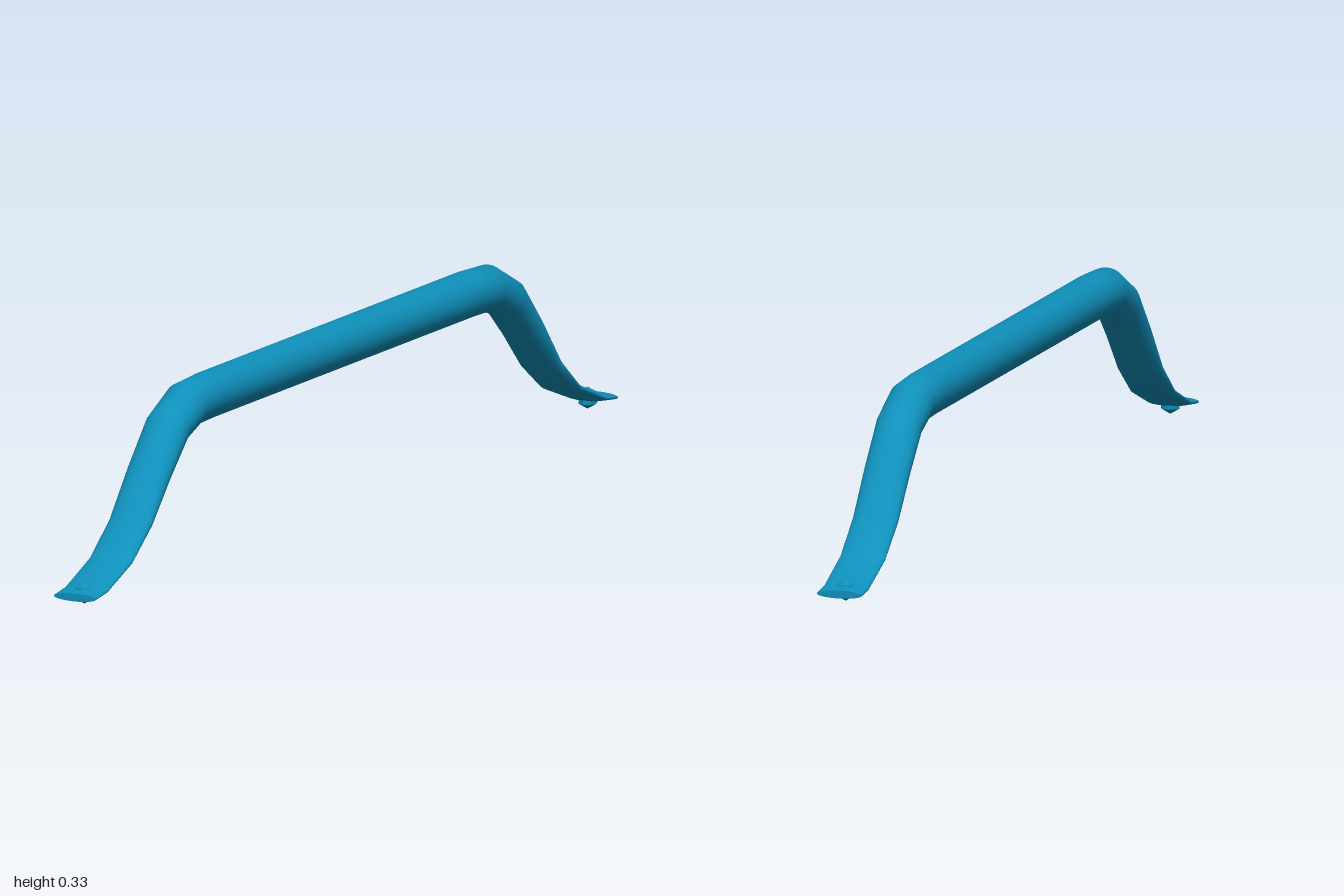
import * as THREE from 'three';

// Half of the side profile: [z, centre height, half thickness], from the front end to the grip
const HALF = [
  [1.0, 0.017, 0.007],
  [0.955, 0.023, 0.008],
  [0.86, 0.058, 0.011],
  [0.785, 0.112, 0.018],
  [0.715, 0.187, 0.028],
  [0.645, 0.254, 0.036],
  [0.575, 0.283, 0.041],
  [0.5, 0.286, 0.041],
];
const HALF_WIDTH = 0.041;
const SIDES = 32;

// Round bar whose section flattens to a thin ellipse towards both ends
function barGeometry() {
  const path = [...HALF, ...HALF.slice().reverse().map(([z, y, t]) => [-z, y, t])];
  const last = path.length - 1;
  const pos = [];
  const index = [];

  path.forEach(([z, y, t], i) => {
    // Sections stand square to the path; the end sections are upright
    const [z0, y0] = path[Math.max(i - 1, 0)];
    const [z1, y1] = path[Math.min(i + 1, last)];
    const isEnd = i === 0 || i === last;
    const tangent = new THREE.Vector2(z1 - z0, isEnd ? 0 : y1 - y0).normalize();
    for (let j = 0; j < SIDES; j++) {
      const a = (j / SIDES) * Math.PI * 2;
      const s = t * Math.sin(a);
      pos.push(HALF_WIDTH * Math.cos(a), y - s * tangent.x, z + s * tangent.y);
    }
  });

  for (let i = 0; i < last; i++) {
    for (let j = 0; j < SIDES; j++) {
      const k = (j + 1) % SIDES;
      const a = i * SIDES + j, b = i * SIDES + k;
      index.push(a, a + SIDES, b, b, a + SIDES, b + SIDES);
    }
  }

  const geometry = new THREE.BufferGeometry();
  geometry.setAttribute('position', new THREE.Float32BufferAttribute(pos, 3));
  geometry.setIndex(index);
  geometry.computeVertexNormals();
  return geometry;
}

export function createModel() {
  const group = new THREE.Group();
  const material = new THREE.MeshStandardMaterial({ color: 0x0f90bb });
  const flat = new THREE.MeshStandardMaterial({ color: 0x0f90bb, flatShading: true });

  const add = (name, geometry, mat, x, y, z) => {
    const mesh = new THREE.Mesh(geometry, mat);
    mesh.name = name;
    mesh.position.set(x, y, z);
    group.add(mesh);
    return mesh;
  };

  add('handleBar', barGeometry(), material, 0, 0, 0);

  // End faces and faceted screws, one pair per end
  const [endZ, endY, endT] = HALF[0];
  for (const side of [1, -1]) {
    const name = side > 0 ? 'front' : 'back';
    const cap = add(name + 'EndFace', new THREE.CircleGeometry(1, SIDES), material, 0, endY, side * endZ);
    cap.scale.set(HALF_WIDTH, endT, 1);
    if (side < 0) cap.rotation.y = Math.PI;
    add(name + 'Screw', new THREE.SphereGeometry(0.0195, 8, 3), flat, 0, 0.0195, side * 0.963);
  }
  return group;
}
